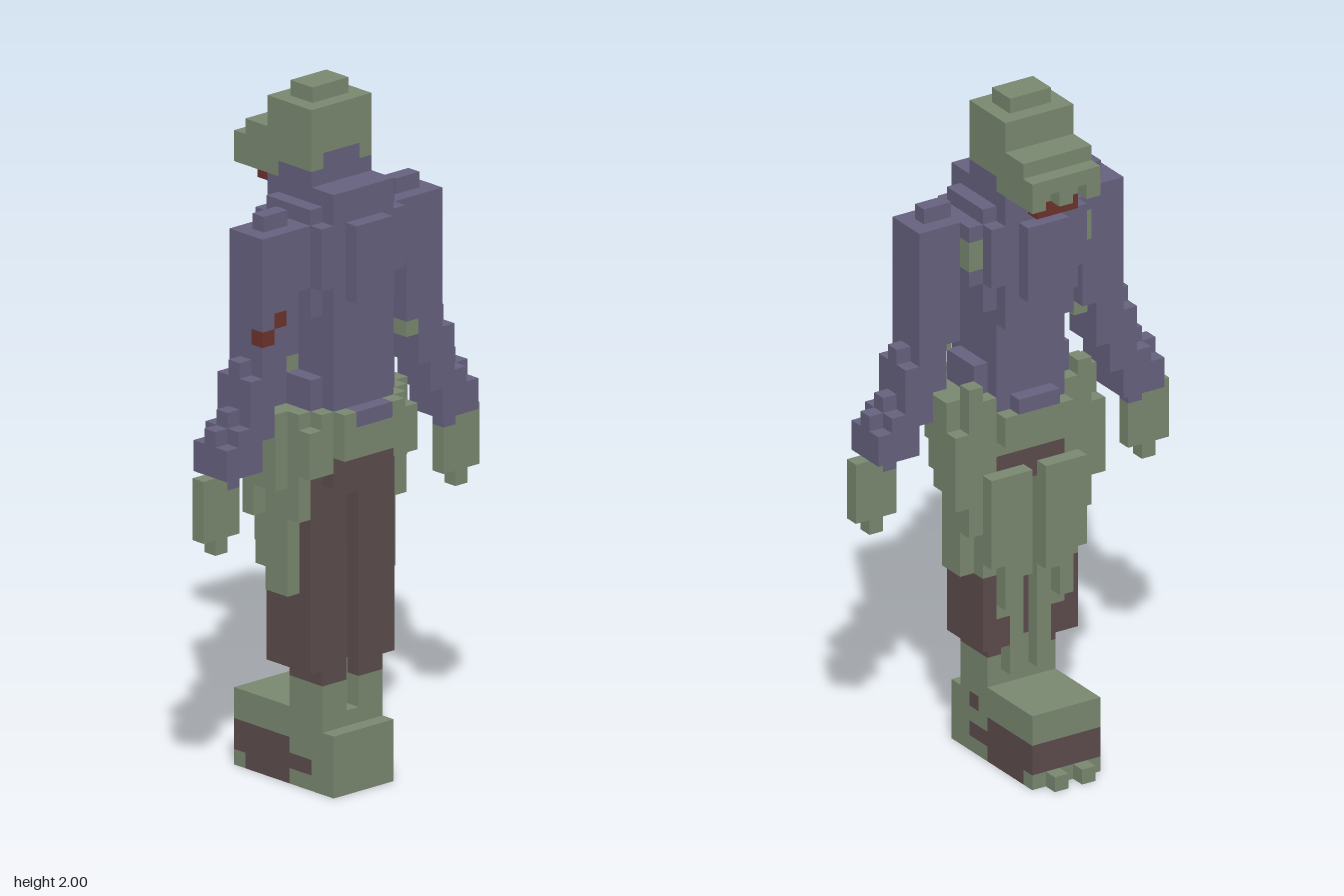
import * as THREE from 'three';

const U = 2 / 45; // edge of one cube

const mat = (name, color, o = {}) => Object.assign(new THREE.MeshStandardMaterial({ color, ...o }), { name });

export function createModel() {
  const green = mat('rotten green skin', 0x7a8870);
  const purple = mat('purple cloth', 0x66617f);
  const brown = mat('dark brown cloth', 0x5c4c4c);
  const red = mat('dried red', 0x6e322c);

  // Cubes are painted into a grid; later paint replaces earlier paint.
  const cells = new Map();
  const key = (x, y, z) => `${x},${y},${z}`;
  const paint = (part, m, x0, x1, y0, y1, z0, z1) => {
    for (let x = x0; x <= x1; x++)
      for (let y = y0; y <= y1; y++)
        for (let z = z0; z <= z1; z++) cells.set(key(x, y, z), { part, m, x, y, z });
  };
  // Same block on both sides of the body
  const pair = (part, m, x0, x1, ...r) => {
    paint(part + 'Left', m, x0, x1, ...r);
    paint(part + 'Right', m, -x1, -x0, ...r);
  };

  // Feet block with dark sole patch and toes
  paint('feet', green, -2, 2, 0, 3, -4, 4);
  paint('feet', green, -2, 2, 4, 4, -4, 3);
  paint('feet', brown, -2, 2, 0, 2, -4, 0);
  paint('feet', brown, -2, 2, 1, 1, 1, 2);
  paint('feet', brown, 2, 2, 3, 3, 2, 2);
  paint('feet', green, -2, 2, 0, 0, -4, -4);
  pair('toe', green, 1, 1, 0, 0, -5, -5);

  // Shins with a groove down the middle
  pair('shin', green, 1, 2, 5, 6, 1, 3);
  pair('shin', brown, 1, 2, 7, 9, 1, 3);
  paint('shinCentre', green, 0, 0, 5, 7, 1, 2);

  // Thighs, joined below and above an open slot
  pair('thigh', brown, 1, 3, 8, 20, 1, 3);
  paint('trouserCentre', brown, 0, 0, 8, 14, 1, 2);
  paint('trouserCentre', brown, 0, 0, 19, 20, 0, 3);

  // Ragged strips hanging behind the legs: [x, bottom of inner, bottom of outer]
  for (const [x, inner, outer] of [[1, 6, 13], [2, 8, 11], [3, 10, 14]]) {
    pair('backRag', green, x, x, inner, 21, 0, 0);
    pair('backRag', green, x, x, outer, 19, -1, -1);
  }
  pair('backRag', brown, 2, 3, 8, 9, 0, 0);
  pair('backRag', brown, 3, 3, 10, 12, 0, 0);

  // Hips and side rags
  paint('hips', green, -3, 3, 21, 24, 0, 4);
  paint('hips', brown, -2, 2, 20, 20, 0, 4);
  paint('hips', brown, -2, 2, 21, 21, 4, 4);
  paint('hips', green, -2, 2, 22, 23, -1, 5);
  pair('sideRag', green, 4, 4, 13, 24, 1, 2);
  pair('sideRag', green, 4, 4, 16, 25, 0, 0);
  pair('sideRag', green, 4, 4, 18, 24, 3, 3);
  pair('sideRag', green, 3, 4, 21, 23, 4, 4);
  pair('sideRag', green, 5, 5, 18, 22, 0, 0);
  pair('sideRag', green, 5, 5, 20, 24, 1, 2);
  pair('sideRag', green, 3, 3, 14, 25, 1, 2);

  // Waist and shirt hem
  paint('shirt', purple, -2, 2, 24, 32, 0, 4);
  paint('shirt', purple, -1, 1, 24, 24, -1, 5);
  pair('shirtHem', purple, 3, 3, 24, 26, 1, 3);
  pair('shirtHem', green, 2, 2, 24, 24, 5, 5);

  // Chest, shoulder yoke and plates on front and back
  paint('shirt', purple, -2, 2, 30, 32, -1, -1);
  paint('shirt', purple, -3, 3, 31, 32, 0, 3);
  paint('shirt', purple, -3, 3, 33, 36, -1, 4);
  paint('shirt', purple, -4, 4, 33, 36, 0, 3);
  paint('shirt', purple, -3, 3, 37, 37, 0, 3);
  paint('shirt', purple, -2, 2, 37, 38, -1, 4);
  paint('chestPlate', purple, -1, 1, 32, 36, 5, 5);
  paint('backPlate', purple, -1, 1, 32, 36, -2, -2);
  pair('bareShoulderBlade', green, 4, 4, 34, 35, 0, 0);

  // Arms, stepping outwards as they go down
  pair('shoulderTuft', purple, 5, 6, 37, 37, 2, 2);
  pair('upperArm', purple, 5, 7, 29, 36, 1, 3);
  pair('foreArm', purple, 6, 8, 28, 28, 2, 2);
  pair('foreArm', purple, 6, 7, 28, 28, 1, 3);
  pair('elbow', green, 5, 5, 28, 28, 2, 3);
  pair('foreArm', purple, 6, 8, 26, 27, 1, 3);
  pair('foreArm', purple, 7, 9, 25, 25, 2, 2);
  pair('foreArm', purple, 7, 8, 25, 25, 1, 3);
  pair('foreArm', purple, 7, 10, 24, 24, 2, 2);
  pair('foreArm', purple, 7, 9, 24, 24, 1, 3);
  pair('foreArm', purple, 8, 10, 22, 23, 1, 3);
  pair('hand', green, 9, 11, 18, 21, 2, 2);
  pair('hand', purple, 9, 9, 21, 21, 2, 2);
  pair('finger', green, 10, 10, 17, 17, 2, 2);

  // Wounds on one upper arm
  paint('wound', red, -6, -6, 31, 31, 3, 3);
  paint('wound', red, -7, -7, 30, 30, 3, 3);

  // Neck, head and jutting face with teeth
  paint('neck', purple, -2, 2, 39, 40, 0, 2);
  paint('head', green, -2, 2, 39, 40, -1, -1);
  paint('head', green, -2, 2, 40, 40, 0, 0);
  pair('cheek', green, 2, 2, 40, 40, 1, 2);
  paint('head', green, -2, 2, 41, 43, -1, 2);
  paint('headTop', green, -1, 1, 44, 44, 0, 1);
  paint('face', green, -2, 2, 39, 41, -3, -2);
  paint('face', green, -2, 2, 40, 40, -4, -4);
  for (const x of [-2, 0, 2]) paint('teeth', green, x, x, 39, 39, -4, -4);
  paint('mouth', red, -1, 1, 38, 38, -3, -3);

  // Collect the exposed cube faces of each part and colour
  const batches = new Map();
  for (const c of cells.values()) {
    const id = c.part + '|' + c.m.name;
    if (!batches.has(id)) batches.set(id, { name: c.part, m: c.m, pos: [], nor: [] });
    const b = batches.get(id);
    const centre = [c.x, c.y + 0.5, c.z];
    for (let a = 0; a < 3; a++)
      for (const s of [-1, 1]) {
        const n = [0, 0, 0];
        n[a] = s;
        if (cells.has(key(c.x + n[0], c.y + n[1], c.z + n[2]))) continue;
        const u = (a + 1) % 3, v = (a + 2) % 3;
        const quad = [[-1, -1], [1, -1], [1, 1], [-1, -1], [1, 1], [-1, 1]];
        for (const [i, j] of quad) {
          const p = [...centre];
          p[a] += s / 2;
          p[u] += (i * s) / 2 * 1;
          p[v] += j / 2;
          b.pos.push(...p.map((q) => q * U));
          b.nor.push(...n);
        }
      }
  }

  const model = new THREE.Group();
  model.name = 'blockFigure';
  for (const { name, m, pos, nor } of batches.values()) {
    if (!pos.length) continue;
    const g = new THREE.BufferGeometry();
    g.setAttribute('position', new THREE.Float32BufferAttribute(pos, 3));
    g.setAttribute('normal', new THREE.Float32BufferAttribute(nor, 3));
    const mesh = new THREE.Mesh(g, m);
    mesh.name = name;
    model.add(mesh);
  }
  return model;
}
